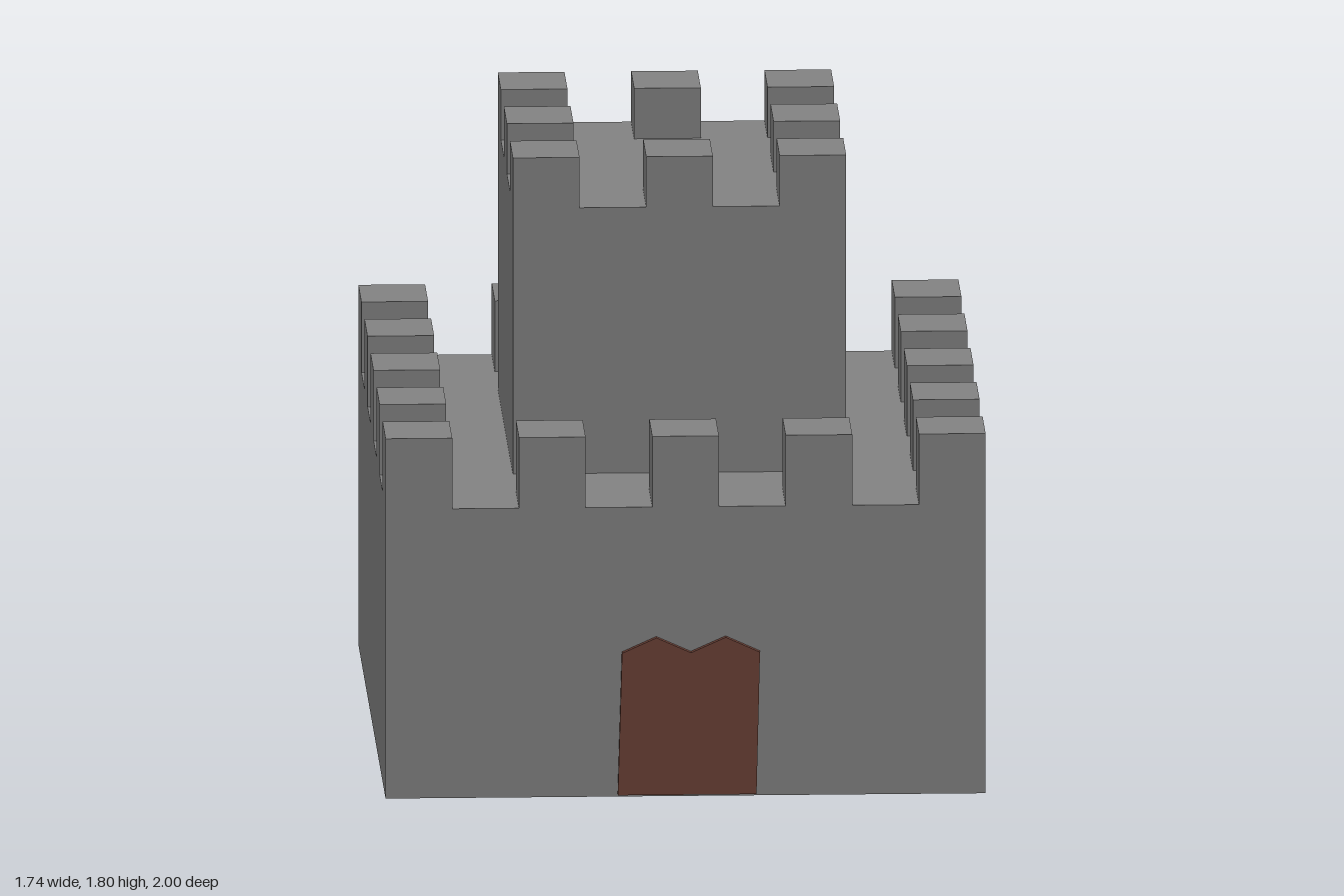
import * as THREE from 'three';

const CELL_X = 1.74 / 9; // merlon and gap width
const CELL_Z = 1.98 / 9; // merlon and gap depth
const CENTER_Z = -0.01;

const stone = new THREE.MeshStandardMaterial({ color: 0x828282, flatShading: true });
const wood = new THREE.MeshStandardMaterial({ color: 0x6b4136, flatShading: true });

function block(name, w, h, d, x, y, z) {
  const mesh = new THREE.Mesh(new THREE.BoxGeometry(w, h, d), stone);
  mesh.name = name;
  mesh.position.set(x, y + h / 2, z);
  return mesh;
}

// A storey of n x n cells, with merlons on every other edge cell
function storey(name, n, bottom, roof, top) {
  const group = new THREE.Group();
  group.name = name;
  group.add(block(name + 'Walls', n * CELL_X, roof - bottom, n * CELL_Z, 0, bottom, 0));
  const last = n - 1;
  for (let i = 0; i < n; i += 2) {
    for (let j = 0; j < n; j += 2) {
      if (i > 0 && i < last && j > 0 && j < last) continue;
      group.add(block(name + 'Merlon', CELL_X, top - roof, CELL_Z,
        (i - last / 2) * CELL_X, roof, (j - last / 2) * CELL_Z));
    }
  }
  group.position.z = CENTER_Z;
  return group;
}

// Slightly leaning double door with two pointed tops
function createDoor() {
  const outline = [
    [-0.197, 0.008], [0.205, 0.008], [0.215, 0.43], [0.116, 0.475],
    [0.015, 0.43], [-0.085, 0.475], [-0.185, 0.43],
  ];
  const shape = new THREE.Shape(outline.map(([x, y]) => new THREE.Vector2(x, y)));
  const mesh = new THREE.Mesh(
    new THREE.ExtrudeGeometry(shape, { depth: 0.02, bevelEnabled: false }), wood);
  mesh.name = 'door';
  mesh.position.z = 0.98;
  return mesh;
}

export function createModel() {
  const castle = new THREE.Group();
  castle.name = 'castle';
  castle.add(
    storey('outerWall', 9, 0, 0.86, 1.07),
    storey('keep', 5, 0.86, 1.65, 1.8),
    createDoor(),
  );
  return castle;
}
